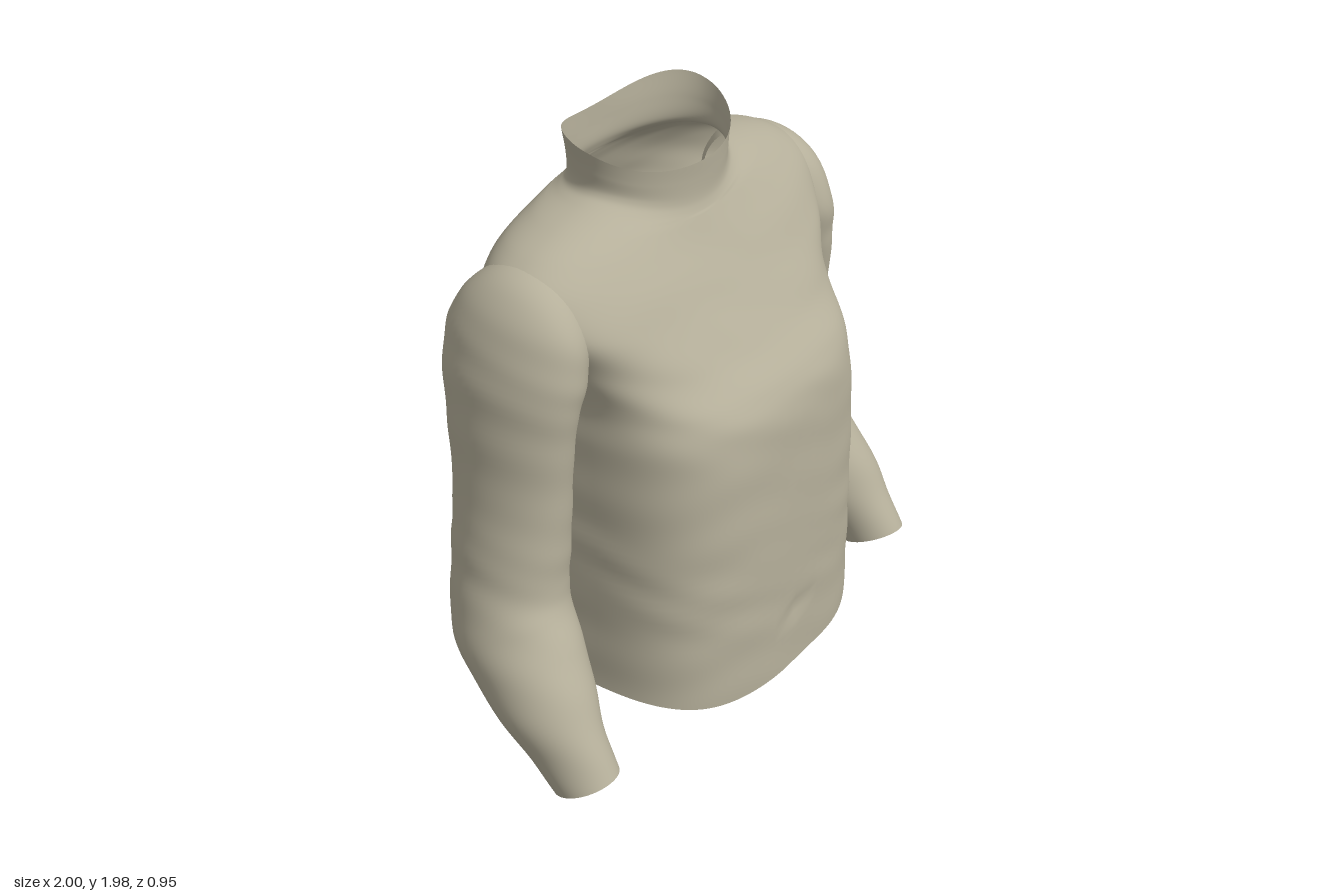
import * as THREE from 'three';

// Catmull-Rom interpolation through a list of parameter rows, t in 0..1
function sampleRows(rows, t) {
  const f = t * (rows.length - 1);
  const i = Math.min(Math.floor(f), rows.length - 2);
  const k = f - i;
  const at = (n) => rows[Math.max(0, Math.min(rows.length - 1, n))];
  return rows[i].map((p1, c) => {
    const p0 = at(i - 1)[c], p2 = at(i + 1)[c], p3 = at(i + 2)[c];
    return p1 + 0.5 * k * (p2 - p0 + k * (2 * p0 - 5 * p1 + 4 * p2 - p3 + k * (3 * (p1 - p2) + p3 - p0)));
  });
}

// Open tube skinned over rings; point(t, angle) gives each vertex
function skin(rings, sides, point, flip) {
  const pos = [], index = [];
  for (let i = 0; i <= rings; i++)
    for (let j = 0; j < sides; j++) pos.push(...point(i / rings, (j / sides) * Math.PI * 2));
  for (let i = 0; i < rings; i++)
    for (let j = 0; j < sides; j++) {
      const a = i * sides + j, b = i * sides + ((j + 1) % sides);
      const c = a + sides, d = b + sides;
      if (flip) index.push(a, b, c, b, d, c);
      else index.push(a, c, b, b, c, d);
    }
  const geo = new THREE.BufferGeometry();
  geo.setAttribute('position', new THREE.Float32BufferAttribute(pos, 3));
  geo.setIndex(index);
  geo.computeVertexNormals();
  return geo;
}

// Soft knit wrinkles
const wrinkle = (x, y, z) =>
  0.0013 * (Math.sin(31 * y + 5 * x + 2 * Math.sin(7 * x)) + Math.sin(17 * x + 23 * y + 3 * Math.sin(9 * y + 4 * z)));

// Body and collar: y front, y side, y back, half width, z front, z back, z centre, roundness
const bodyRows = [
  [0.095, 0.165, 0.15, 0.577, 0.47, -0.47, 0, 3],
  [0.35, 0.38, 0.38, 0.568, 0.47, -0.47, 0, 3.1],
  [0.65, 0.65, 0.65, 0.565, 0.47, -0.47, 0, 3.1],
  [0.9, 0.9, 0.9, 0.562, 0.465, -0.47, 0, 3.1],
  [1.09, 1.09, 1.09, 0.56, 0.458, -0.47, -0.01, 3],
  [1.2, 1.22, 1.22, 0.562, 0.42, -0.47, -0.03, 2.9],
  [1.31, 1.36, 1.36, 0.61, 0.335, -0.473, -0.07, 2.6],
  [1.44, 1.53, 1.5, 0.71, 0.25, -0.467, -0.11, 2.4],
  [1.55, 1.64, 1.61, 0.71, 0.185, -0.437, -0.13, 2.3],
  [1.63, 1.715, 1.69, 0.62, 0.138, -0.408, -0.14, 2.2],
  [1.685, 1.762, 1.74, 0.49, 0.108, -0.383, -0.14, 2.1],
  [1.72, 1.79, 1.775, 0.36, 0.092, -0.365, -0.14, 2],
  [1.755, 1.82, 1.81, 0.31, 0.085, -0.354, -0.14, 2],
  [1.82, 1.89, 1.87, 0.313, 0.085, -0.353, -0.14, 2],
  [1.875, 1.965, 1.935, 0.327, 0.088, -0.354, -0.15, 2],
];

function bodyPoint(t, angle) {
  const [yf, ys, yb, w, zf, zb, zc, n] = sampleRows(bodyRows, t);
  const c = Math.cos(angle), s = Math.sin(angle);
  const x = w * Math.sign(c) * Math.abs(c) ** (2 / n);
  const bulge = Math.abs(s) ** (2 / n);
  let z = zc + bulge * (s > 0 ? zf - zc : zb - zc);
  // Collar rim peaks behind the sides
  const rim = 0.065 * Math.max(0, (t - 0.86) / 0.14);
  const y = ys + ((s > 0 ? yf : yb) - ys) * s * s - rim * s * c * c;
  const d = wrinkle(x, y, z) * (t > 0.75 ? 0.4 : 1);
  z += s * d;
  // Navel dimple
  if (s > 0) z -= 0.014 * Math.exp(-((x / 0.025) ** 2) - ((y - 0.31) / 0.03) ** 2);
  return [x + c * d, y, z];
}

// Sleeve: inner x, inner y, outer x, outer y, z centre, half depth, front lift
const sleeveRows = [
  [0.54, 1.3, 0.54, 1.69, -0.14, 0.17, 0],
  [0.555, 1.27, 0.64, 1.7, -0.14, 0.225, 0],
  [0.56, 1.25, 0.73, 1.655, -0.14, 0.25, 0],
  [0.565, 1.24, 0.797, 1.55, -0.14, 0.256, 0],
  [0.57, 1.21, 0.84, 1.4, -0.14, 0.246, 0],
  [0.572, 1.13, 0.858, 1.2, -0.138, 0.226, 0],
  [0.57, 0.95, 0.87, 0.98, -0.138, 0.21, 0],
  [0.565, 0.78, 0.9, 0.78, -0.14, 0.205, 0.01],
  [0.575, 0.63, 0.93, 0.62, -0.138, 0.2, 0.03],
  [0.59, 0.5, 0.968, 0.5, -0.11, 0.195, 0.07],
  [0.625, 0.39, 0.99, 0.39, -0.03, 0.18, 0.075],
  [0.675, 0.275, 0.998, 0.275, 0.067, 0.153, 0.07],
  [0.735, 0.155, 0.978, 0.15, 0.168, 0.122, 0.055],
  [0.757, 0.055, 0.967, 0.045, 0.245, 0.107, 0.045],
];

const sleevePoint = (side) => (t, angle) => {
  const [ix, iy, ox, oy, zc, rz, lift] = sampleRows(sleeveRows, t);
  const c = Math.cos(angle), s = Math.sin(angle);
  const x = (ix + ox) / 2 + (c * (ox - ix)) / 2;
  const y = (iy + oy) / 2 + (c * (oy - iy)) / 2 + s * lift;
  const z = zc + s * rz;
  const d = wrinkle(x * side, y, z);
  return [side * (x + c * d), y, z + s * d];
};

export function createModel() {
  const model = new THREE.Group();
  model.name = 'sweater';
  const knit = new THREE.MeshStandardMaterial({ color: 0xb5af9a, side: THREE.DoubleSide });
  knit.name = 'warm grey knit';

  const add = (name, geo) => {
    const mesh = new THREE.Mesh(geo, knit);
    mesh.name = name;
    model.add(mesh);
  };
  add('bodyAndCollar', skin(140, 128, bodyPoint, false));
  add('leftSleeve', skin(104, 56, sleevePoint(1), true));
  add('rightSleeve', skin(104, 56, sleevePoint(-1), false));
  return model;
}
